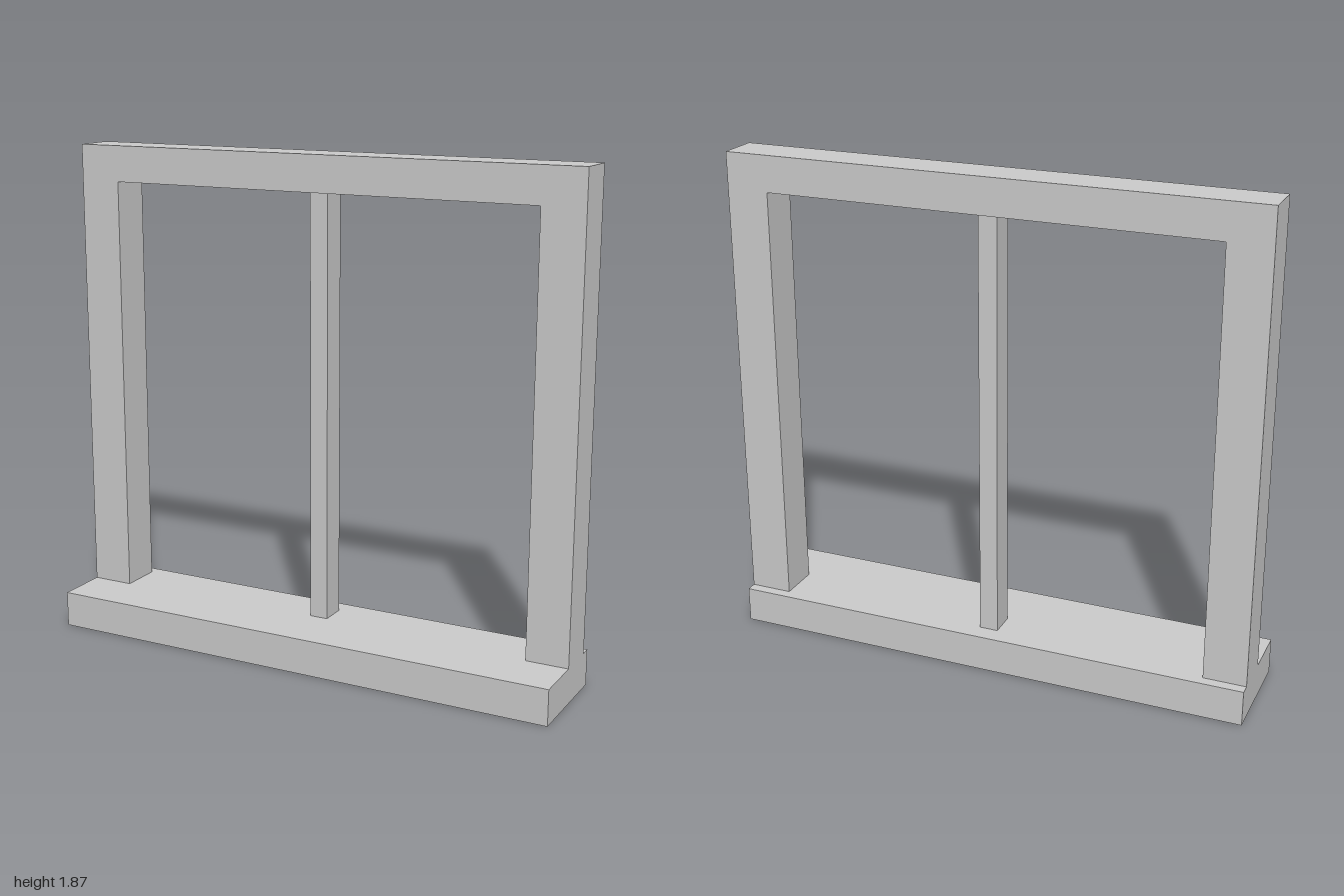
import * as THREE from 'three';

export function createModel() {
  const model = new THREE.Group();
  model.name = 'windowFrame';
  const material = new THREE.MeshStandardMaterial({ color: 0xcccccc });

  const sillTop = 0.135, headBottom = 1.735, top = 1.87;
  const inner = 0.84, frameDepth = 0.16;

  const add = (name, geometry, x, y, z) => {
    const mesh = new THREE.Mesh(geometry, material);
    mesh.name = name;
    mesh.position.set(x, y, z);
    model.add(mesh);
  };

  // Wide sill the frame stands on
  add('sill', new THREE.BoxGeometry(2, sillTop, 0.4), 0, sillTop / 2, 0);

  // Side posts and head in one piece, set behind the middle of the sill
  const outline = new THREE.Shape([
    [-1, sillTop], [-inner, sillTop], [-inner, headBottom], [inner, headBottom],
    [inner, sillTop], [1, sillTop], [1, top], [-1, top],
  ].map(([x, y]) => new THREE.Vector2(x, y)));
  add('frame', new THREE.ExtrudeGeometry(outline, { depth: frameDepth, bevelEnabled: false }), 0, 0, -frameDepth);

  // Thin centre bar, midway through the frame's depth
  const barHeight = headBottom - sillTop;
  add('mullion', new THREE.BoxGeometry(0.07, barHeight, 0.1), 0, sillTop + barHeight / 2, -frameDepth / 2);

  return model;
}
